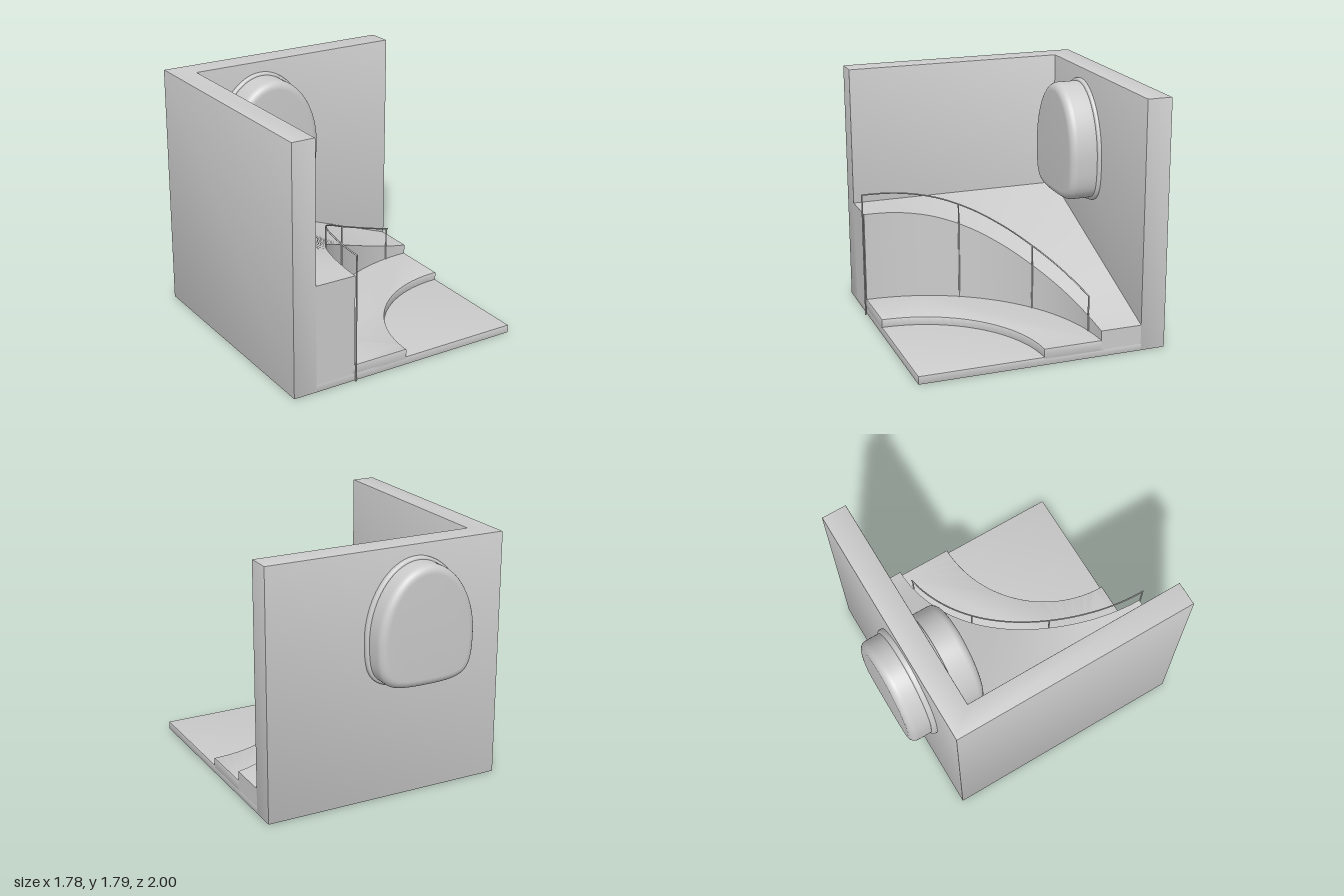
import * as THREE from 'three';
import { toCreasedNormals, mergeVertices } from 'three/addons/utils/BufferGeometryUtils.js';

const CX = 0.89, CZ = 0.98;            // common centre of the curved steps
const R_STEP = 0.89, R_RAMP = 1.31, R_ROOM = 1.61;
const HIGH = 0.78, LOW = 0.19;
const mat = new THREE.MeshStandardMaterial({ color: 0xcccccc });

function add(parent, name, geo) {
  const mesh = new THREE.Mesh(geo, mat);
  mesh.name = name;
  parent.add(mesh);
  return mesh;
}

// Solid of total thickness (to - from) with rounded rims, inside the outline grown by `grow`
function bevelled(shape, from, to, bevel, segments = 1, grow = 0, curveSegments = 40) {
  const geo = new THREE.ExtrudeGeometry(shape, {
    depth: to - from - 2 * bevel, bevelThickness: bevel, bevelSize: bevel,
    bevelOffset: grow - bevel, bevelSegments: segments, curveSegments,
  });
  geo.translate(0, 0, from + bevel);
  return toCreasedNormals(geo, 0.6);
}

// Plan outline (x, -z) raised along y
const raised = (shape, from, to, bevel) => bevelled(shape, from, to, bevel, 2).rotateX(-Math.PI / 2);
const plan = (pts) => new THREE.Shape(pts.map(([x, z]) => new THREE.Vector2(x, -z)));

// Height of the ramp's inner edge: level start, steady descent, gentle run-out
const drop = new THREE.SplineCurve(
  [0, 0.01, 0.07, 0.195, 0.37, 0.565, 0.745, 0.9, 1].map((d, i) => new THREE.Vector2(i / 8, d)));
const edgeHeight = (t) => HIGH - (HIGH - LOW) * drop.getPoint(t).y;

// Point on a circle round the centre; t = 0 at the front, 1 at the model's left side
const around = (t, r, y) => new THREE.Vector3(
  CX - r * Math.cos(t * Math.PI / 2), y, CZ - r * Math.sin(t * Math.PI / 2));

// Ramp: four-cornered sections swept from the front to the side
function rampGeometry() {
  const N = 64, pos = [], index = [];
  for (let i = 0; i <= N; i++) {
    const t = i / N, a = t * Math.PI / 2;
    const rOut = R_ROOM / Math.max(Math.cos(a), Math.sin(a));
    const out = around(t, rOut, 0);
    const along = t <= 0.5 ? 0 : (out.x - (CX - R_ROOM)) / R_ROOM;
    const outY = HIGH + (LOW - HIGH) * along;
    for (const p of [around(t, R_RAMP, 0.05), around(t, R_RAMP, edgeHeight(t)),
      around(t, rOut, outY), around(t, rOut, 0.05)]) pos.push(p.x, p.y, p.z);
    if (i === N) continue;
    for (let j = 0; j < 4; j++) {
      const k = (j + 1) % 4, b = i * 4;
      index.push(b + j, b + 4 + j, b + k, b + 4 + j, b + 4 + k, b + k);
    }
  }
  const e = N * 4;
  index.push(0, 1, 2, 0, 2, 3, e, e + 2, e + 1, e, e + 3, e + 2);
  const geo = new THREE.BufferGeometry();
  geo.setAttribute('position', new THREE.Float32BufferAttribute(pos, 3));
  geo.setIndex(index);
  return toCreasedNormals(mergeVertices(geo), 0.6);
}

// Egg-shaped window outline, mirrored about its middle
function windowShape() {
  const c = -0.21, s = new THREE.Shape();
  s.moveTo(c, 1.69);
  s.bezierCurveTo(c - 0.2, 1.69, c - 0.365, 1.45, c - 0.365, 1.18);
  s.bezierCurveTo(c - 0.365, 0.88, c - 0.31, 0.85, c, 0.85);
  s.bezierCurveTo(c + 0.31, 0.85, c + 0.365, 0.88, c + 0.365, 1.18);
  s.bezierCurveTo(c + 0.365, 1.45, c + 0.2, 1.69, c, 1.69);
  return s;
}

export function createModel() {
  const model = new THREE.Group();
  model.name = 'roomCorner';

  // Two walls in one L-shaped piece
  add(model, 'walls', raised(plan([[-0.89, 0.98], [-0.72, 0.98], [-0.72, -0.63],
    [0.89, -0.63], [0.89, -0.81], [-0.89, -0.81]]), 0, 1.79, 0.006));

  // Floor and the curved step on it
  add(model, 'floor', raised(plan([[-0.725, 0.98], [0.89, 0.98], [0.89, -0.635], [-0.725, -0.635]]),
    0, 0.06, 0.005));
  const step = new THREE.Shape();
  step.absarc(CX, -CZ, R_RAMP + 0.02, Math.PI / 2, Math.PI, false);
  step.absarc(CX, -CZ, R_STEP, Math.PI, Math.PI / 2, true);
  add(model, 'curvedStep', raised(step, 0.04, 0.12, 0.006));

  add(model, 'ramp', rampGeometry());

  // Handrail and its posts
  const railing = new THREE.Group();
  railing.name = 'railing';
  model.add(railing);
  const rRail = R_RAMP - 0.003, rise = 0.15, thick = 0.0055, tEnd = 0.915;
  const path = [new THREE.Vector3(CX - rRail, HIGH + rise, 1.0)];
  for (let i = 0; i <= 30; i++) {
    const t = tEnd * i / 30;
    path.push(around(t, rRail, edgeHeight(t) + rise));
  }
  add(railing, 'handrail', new THREE.TubeGeometry(new THREE.CatmullRomCurve3(path), 100, thick, 8));
  for (const t of [0, 0.338, 0.623, 0.908]) {
    const top = edgeHeight(t) + rise, bottom = t ? 0.11 : 0;
    const post = add(railing, 'post', new THREE.CylinderGeometry(thick, thick, top - bottom, 10));
    post.position.copy(around(t, rRail, (top + bottom) / 2));
    if (!t) post.position.z = 0.992;
  }

  // Pillow-like window through the back wall, with a rounded rim
  const win = new THREE.Group();
  win.name = 'window';
  model.add(win);
  add(win, 'windowPane', bevelled(windowShape(), -1.0, -0.41, 0.055, 6, 0, 28));
  add(win, 'windowRim', bevelled(windowShape(), -0.845, -0.605, 0.018, 5, 0.02, 28));
  return model;
}
